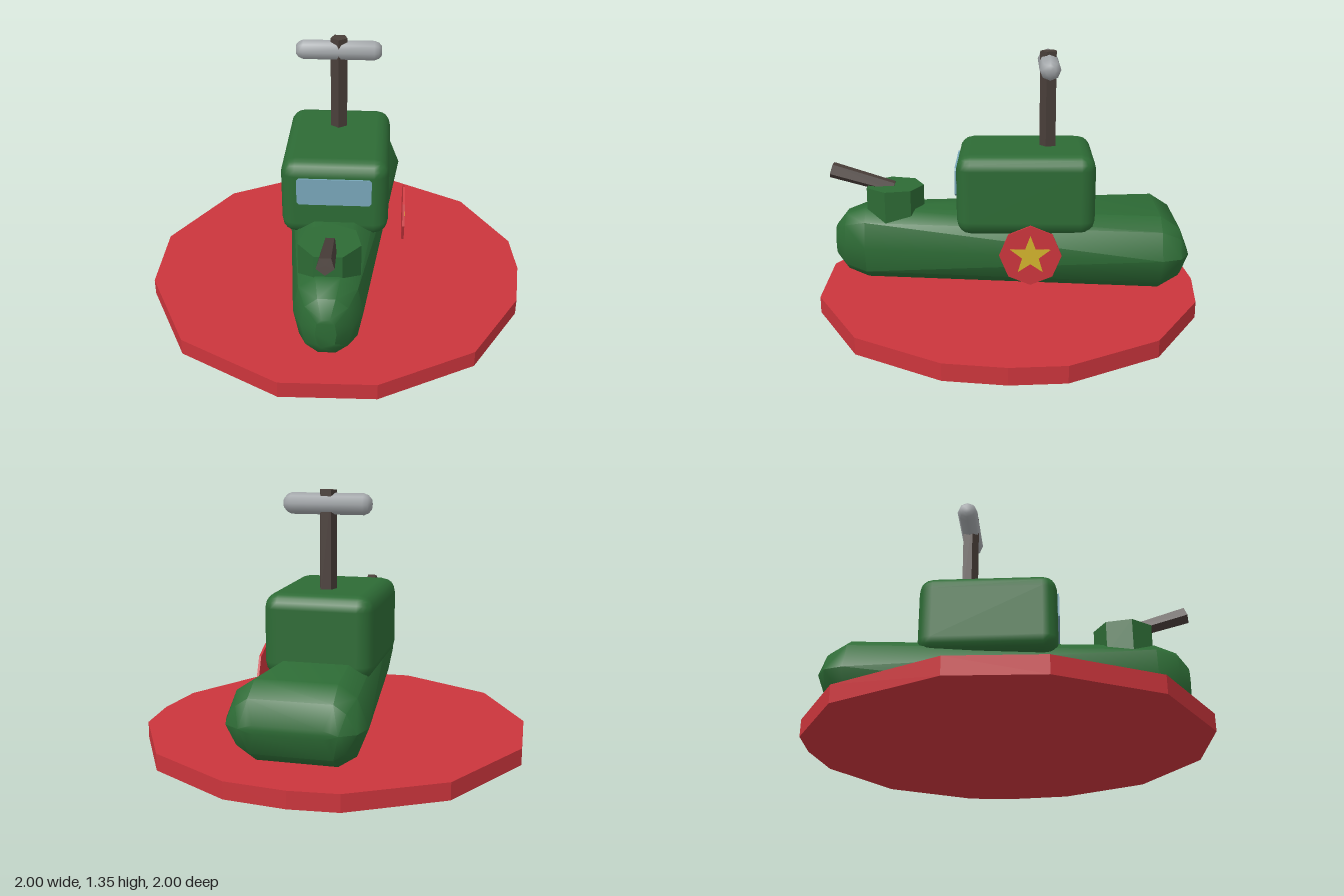
import * as THREE from 'three';
import { toCreasedNormals } from 'three/addons/utils/BufferGeometryUtils.js';
import { ConvexGeometry } from 'three/addons/geometries/ConvexGeometry.js';
import { RoundedBoxGeometry } from 'three/addons/geometries/RoundedBoxGeometry.js';

const material = (name, color) => {
  const m = new THREE.MeshStandardMaterial({ color });
  m.name = name;
  return m;
};

export function createModel() {
  const red = material('red', 0xcb353c);
  const green = material('green', 0x2d6b35);
  const brown = material('dark brown', 0x4a3f3a);
  const grey = material('light grey', 0xa3a7aa);
  const blue = material('window blue', 0x78a6b9);
  const gold = material('gold', 0xd3b32c);

  const model = new THREE.Group();
  const add = (name, geometry, mat, x = 0, y = 0, z = 0) => {
    const mesh = new THREE.Mesh(geometry, mat);
    mesh.name = name;
    mesh.position.set(x, y, z);
    model.add(mesh);
    return mesh;
  };
  const creased = (geometry, angle = 0.45) => toCreasedNormals(geometry, angle);
  const prism = (rTop, rBottom, height, sides) =>
    creased(new THREE.CylinderGeometry(rTop, rBottom, height, sides));
  const plate = (points, depth) => new THREE.ExtrudeGeometry(
    new THREE.Shape(points.map(([x, y]) => new THREE.Vector2(x, y))),
    { depth, bevelEnabled: false });

  // Roughly cut round base
  const rim = [[-0.02, -1], [0.29, -0.965], [0.73, -0.71], [0.98, -0.27], [1, 0],
    [0.96, 0.3], [0.71, 0.73], [0.24, 0.99], [-0.23, 1], [-0.74, 0.72],
    [-0.99, 0.23], [-1, -0.21], [-0.71, -0.73], [-0.26, -0.98]];
  add('base', plate(rim, 0.087).rotateX(Math.PI / 2), red, 0, 0.087, 0);

  // Hull: cross-sections [z, half width, half height, share of flat top]
  const sections = [[-0.925, 0.23, 0.02, 0.7], [-0.88, 0.305, 0.13, 0.65],
    [-0.78, 0.338, 0.195, 0.58], [0.76, 0.168, 0.195, 0.35],
    [0.87, 0.12, 0.155, 0.35], [0.93, 0.05, 0.08, 0.4]];
  const hullPoints = [];
  for (const [z, w, h, flat] of sections) {
    for (const sx of [-1, 1]) {
      hullPoints.push(new THREE.Vector3(sx * w, 0, z));
      for (const sy of [-1, 1]) {
        hullPoints.push(new THREE.Vector3(sx * w * 0.84, sy * h * 0.7, z));
        hullPoints.push(new THREE.Vector3(sx * w * flat, sy * h, z));
      }
    }
  }
  add('hull', creased(new ConvexGeometry(hullPoints), 0.7), green, -0.005, 0.325, 0);

  // Cabin and its front window
  add('cabin', new RoundedBoxGeometry(0.55, 0.42, 0.71, 2, 0.075), green, -0.005, 0.64, -0.085);
  const c = 0.012;
  const pane = [[-0.19 + c, -0.073], [0.19 - c, -0.073], [0.19, -0.073 + c], [0.19, 0.073 - c],
    [0.19 - c, 0.073], [-0.19 + c, 0.073], [-0.19, 0.073 - c], [-0.19, -0.073 + c]];
  add('window', plate(pane, 0.009), blue, -0.006, 0.698, 0.271);

  // Gun turret and raised barrel
  add('turret', prism(0.155, 0.155, 0.17, 7), green, -0.005, 0.545, 0.612).rotation.y = Math.PI;
  const gun = add('gunBarrel', prism(0.044, 0.036, 0.34, 5), brown, -0.004, 0.664, 0.78);
  gun.rotation.x = Math.PI / 2 - 0.29;

  // Mast with a rounded crossbar
  add('mast', prism(0.046, 0.046, 0.52, 5), brown, -0.006, 1.085, -0.203);
  const bar = [[0, -0.222], [0.027, -0.222], [0.044, -0.208], [0.054, -0.185],
    [0.054, 0.185], [0.044, 0.208], [0.027, 0.222], [0, 0.222]];
  const barGeometry = new THREE.LatheGeometry(bar.map(([r, y]) => new THREE.Vector2(r, y)), 8);
  add('crossbar', creased(barGeometry.rotateZ(Math.PI / 2), 0.9), grey, -0.007, 1.276, -0.203);

  // Round badge with a star on the left side
  const badge = prism(0.157, 0.157, 0.012, 8);
  badge.rotateZ(-Math.PI / 2);
  add('badge', badge, red, 0.355, 0.367, -0.107);
  const star = Array.from({ length: 10 }, (_, i) => {
    const r = i % 2 ? 0.044 : 0.107;
    const a = Math.PI / 2 + i * Math.PI / 5;
    return [r * Math.cos(a), r * Math.sin(a)];
  });
  add('star', plate(star, 0.003).rotateY(Math.PI / 2), gold, 0.3605, 0.367, -0.107);

  return model;
}
